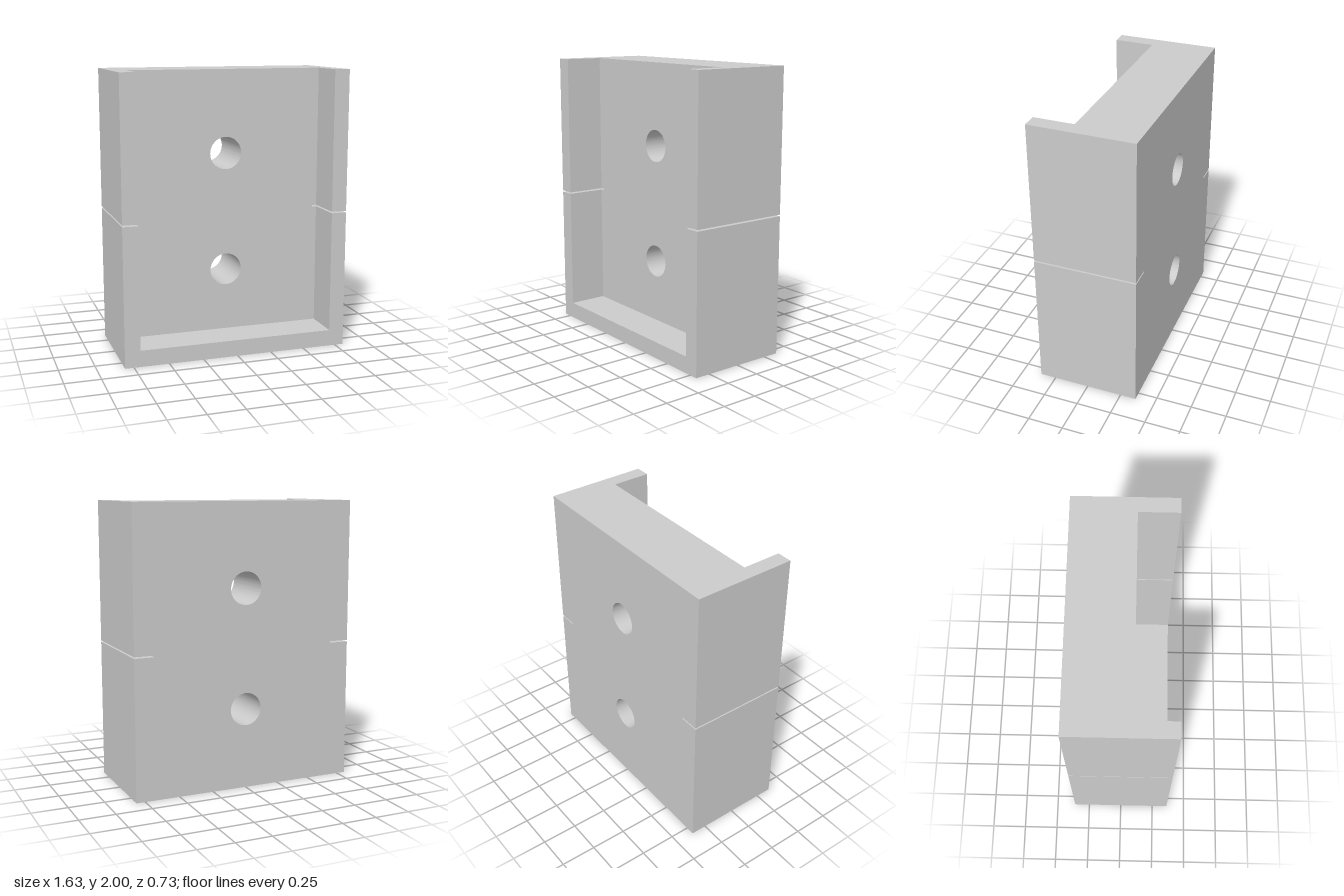
import * as THREE from 'three';
import { toCreasedNormals } from 'three/addons/utils/BufferGeometryUtils.js';

const W = 0.813;            // half width
const INNER = 0.703;        // half width of the recess
const SLIT_X = 0.67;        // inner end of the side slits
const SLIT = [0.986, 0.997]; // bottom and top of the slits
const BACK = -0.363, FLOOR = 0.082, FRONT = 0.363;

export function createModel() {
  const group = new THREE.Group();
  const material = new THREE.MeshStandardMaterial({ color: 0xcccccc });

  const outline = (points) => new THREE.Shape(points.map(([x, y]) => new THREE.Vector2(x, y)));
  const addExtrusion = (name, shape, z0, z1) => {
    const geometry = new THREE.ExtrudeGeometry(shape, {
      depth: z1 - z0, bevelEnabled: false, curveSegments: 48,
    });
    geometry.translate(0, 0, z0);
    const mesh = new THREE.Mesh(toCreasedNormals(geometry, 0.5), material);
    mesh.name = name;
    group.add(mesh);
  };

  // Back plate with a thin slit in each side and two round through-holes
  const half = [[W, 0], [W, SLIT[0]], [SLIT_X, SLIT[0]], [SLIT_X, SLIT[1]], [W, SLIT[1]], [W, 2]];
  const plate = outline([...half, ...half.map(([x, y]) => [-x, y]).reverse()]);
  for (const y of [0.565, 1.411]) {
    plate.holes.push(new THREE.Path().absarc(0, y, 0.115, 0, Math.PI * 2, true));
  }
  addExtrusion('backPlate', plate, BACK, FLOOR);

  // Lower rim: bottom rail and both side walls up to the slits
  addExtrusion('lowerRim', outline([
    [-W, 0], [W, 0], [W, SLIT[0]], [INNER, SLIT[0]], [INNER, 0.117],
    [-INNER, 0.117], [-INNER, SLIT[0]], [-W, SLIT[0]],
  ]), FLOOR, FRONT);

  // Upper side walls above the slits
  for (const [name, s] of [['leftUpperWall', 1], ['rightUpperWall', -1]]) {
    addExtrusion(name, outline([
      [s * INNER, SLIT[1]], [s * W, SLIT[1]], [s * W, 2], [s * INNER, 2],
    ]), FLOOR, FRONT);
  }

  return group;
}
